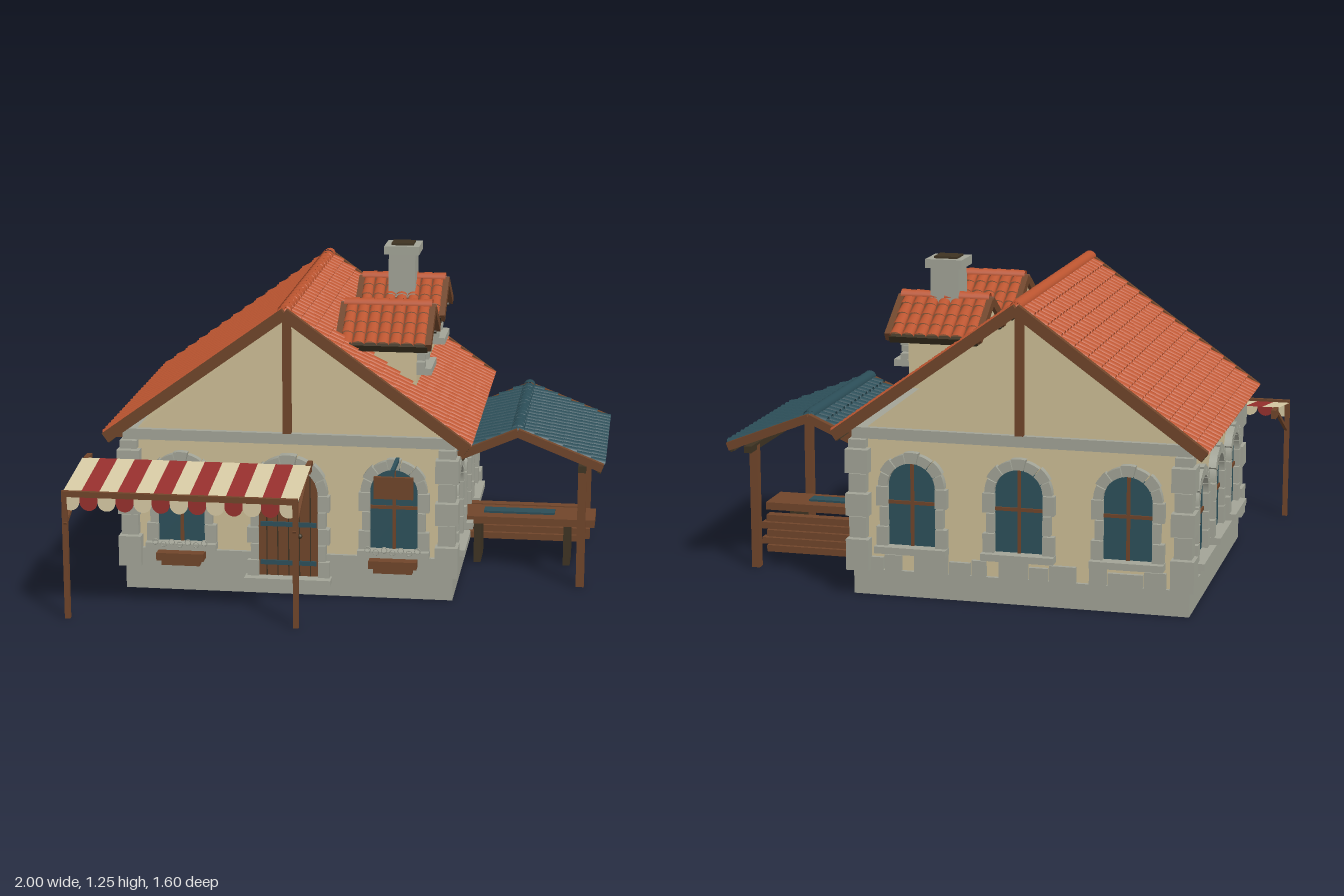
import * as THREE from 'three';
import { mergeGeometries } from 'three/addons/utils/BufferGeometryUtils.js';

const mat = (name, color, side = THREE.FrontSide) => {
  const m = new THREE.MeshStandardMaterial({ color, side });
  m.name = name;
  return m;
};
const wall = mat('plaster', 0xcdbe96), stone = mat('stone', 0xa2a497), wood = mat('wood', 0x70452a);
const dark = mat('dark wood', 0x3e3322), glass = mat('glass', 0x2d505a);
const tile = mat('clay tile', 0xbc5530, THREE.DoubleSide), teal = mat('teal tile', 0x2b4d57, THREE.DoubleSide);
const red = mat('red cloth', 0x96302d, THREE.DoubleSide), cream = mat('cream cloth', 0xd6c9a4, THREE.DoubleSide);

const CX = -0.21, CZ = -0.17; // centre of the house

function add(parent, name, geo, material, x = 0, y = 0, z = 0) {
  const m = new THREE.Mesh(geo, material);
  m.name = name;
  m.position.set(x, y, z);
  parent.add(m);
  return m;
}
const box = (parent, name, material, w, h, d, x, y, z) =>
  add(parent, name, new THREE.BoxGeometry(w, h, d), material, x, y, z);
function group(parent, name, x = 0, y = 0, z = 0, ry = 0) {
  const g = new THREE.Group();
  g.name = name;
  g.position.set(x, y, z);
  g.rotation.y = ry;
  parent.add(g);
  return g;
}
const extrude = (shape, depth) =>
  new THREE.ExtrudeGeometry(shape, { depth, bevelEnabled: false, curveSegments: 10 });

// Rows of curved tiles; x runs down the slope, z along the ridge
function tileField(L, W, rows, cols) {
  const step = L / rows, r = W / cols / 2, parts = [];
  for (let i = 0; i < rows; i++) for (let j = 0; j < cols; j++) {
    const g = new THREE.CylinderGeometry(r * 0.88, r, step * 1.15, 6, 1, true, 0, Math.PI);
    g.rotateZ(Math.PI / 2).scale(1, 0.7, 1).rotateZ(0.16);
    g.translate((i + 0.5) * step, 0.003, -W / 2 + (2 * j + 1) * r);
    parts.push(g);
  }
  return mergeGeometries(parts);
}

// Gabled roof with the ridge along z; sides = [[half width, rise, rows], ...] for +x then -x
function gableRoof(parent, name, sides, len, cols, tiles, under, board) {
  const roof = group(parent, name);
  sides.forEach(([hw, rise, rows], i) => {
    const L = Math.hypot(hw, rise);
    const slope = group(group(roof, 'roofSide', 0, 0, 0, i * Math.PI), 'slope');
    slope.rotation.z = -Math.atan2(rise, hw);
    box(slope, 'roofDeck', under, L, 0.018, len - 0.02, L / 2, -0.009, 0);
    add(slope, 'tiles', tileField(L, len - 0.04, rows, cols), tiles);
    for (const s of [-1, 1]) box(slope, 'rakeBoard', wood, L, board, 0.024, L / 2, -0.004, s * (len / 2 - 0.012));
    box(slope, 'eaveBoard', dark, 0.016, 0.03, len - 0.03, L - 0.006, -0.014, 0);
  });
  // ridge caps
  const n = Math.round(cols * 0.8), step = (len - 0.03) / n, caps = [];
  for (let k = 0; k < n; k++) {
    const g = new THREE.CylinderGeometry(0.023, 0.027, step * 1.05, 8, 1, true, -Math.PI / 2, Math.PI);
    g.rotateX(-Math.PI / 2).scale(1, 0.9, 1);
    caps.push(g.translate(0, 0.005, -len / 2 + 0.015 + (k + 0.5) * step));
  }
  add(roof, 'ridgeTiles', mergeGeometries(caps), tiles);
  return roof;
}

// Arched opening in a wall, facing local +z, with stone jambs and arch blocks
function opening(parent, name, x, z, ry, { hw, y0, yc, t = 0.034, out = 0.03, door = false }) {
  const g = group(parent, name, x, 0, z, ry);
  const s = new THREE.Shape();
  s.moveTo(-hw, y0).lineTo(hw, y0).lineTo(hw, yc).absarc(0, yc, hw, 0, Math.PI, false).lineTo(-hw, y0);
  add(g, door ? 'doorPanel' : 'pane', extrude(s, door ? 0.024 : 0.007), door ? wood : glass);
  for (let i = 0; i < 7; i++) {
    const a = (i / 7) * Math.PI + 0.015, b = ((i + 1) / 7) * Math.PI - 0.015;
    const o = hw + t + (i % 2 ? 0.006 : 0);
    const v = new THREE.Shape();
    v.absarc(0, yc, o, a, b, false).absarc(0, yc, hw - 0.002, b, a, true);
    add(g, 'archStone', extrude(v, out), stone);
  }
  const n = door ? 5 : 3, h = (yc - y0) / n;
  for (const side of [-1, 1]) for (let i = 0; i < n; i++) {
    const w = t + (i % 2 ? -0.004 : 0.01);
    box(g, 'jambStone', stone, w, h - 0.004, out, side * (hw + w / 2 - 0.002), y0 + (i + 0.5) * h, out / 2);
  }
  const top = yc + hw - y0;
  if (door) {
    for (let i = -2; i <= 2; i++) box(g, 'plankGap', dark, 0.004, top - 0.04, 0.003, i * hw * 0.36, y0 + top / 2 - 0.02, 0.025);
    for (const y of [0.13, 0.285]) box(g, 'hinge', glass, hw * 1.85, 0.018, 0.008, 0, y, 0.027);
    add(g, 'knob', new THREE.SphereGeometry(0.01, 10, 8), dark, 0.045, 0.24, 0.032);
    box(g, 'threshold', stone, 2 * hw + 0.1, 0.022, 0.075, 0, 0.066, 0.037);
  } else {
    box(g, 'mullion', wood, 0.013, top, 0.014, 0, y0 + top / 2, 0.007);
    box(g, 'crossbar', wood, 2 * hw, 0.013, 0.014, 0, y0 + top * 0.52, 0.007);
    box(g, 'sill', stone, 2 * (hw + t) + 0.02, 0.026, out + 0.026, 0, y0 - 0.01, (out + 0.026) / 2);
  }
  return g;
}

// Window box with small curled ironwork
function windowBox(parent) {
  const b = box(parent, 'windowBox', wood, 0.185, 0.03, 0.055, 0, 0.148, 0.045);
  box(parent, 'windowBoxFoot', wood, 0.15, 0.025, 0.04, 0, 0.123, 0.038);
  for (let i = -3; i <= 3; i++)
    add(b, 'curl', new THREE.TorusGeometry(0.011, 0.002, 5, 10), stone, i * 0.032, 0.05 + (i % 2 ? 0.009 : 0), 0.018);
}

function buildHouse(g) {
  box(g, 'walls', wall, 1.25, 0.55, 1.11, CX, 0.33, CZ);
  box(g, 'foundation', stone, 1.28, 0.098, 1.14, CX, 0.049, CZ);
  box(g, 'frontPlinth', stone, 1.28, 0.165, 0.03, CX, 0.0825, 0.385);
  // loose upper course of stones on the sides and back
  const widths = [0.1, 0.065, 0.13, 0.08, 0.055, 0.11, 0.07];
  for (const [x, z, ry, len] of [[CX + 0.625, CZ, Math.PI / 2, 1.11], [CX, CZ - 0.555, Math.PI, 1.25], [CX - 0.625, CZ, -Math.PI / 2, 1.11]]) {
    const row = group(g, 'stoneCourse', x, 0, z, ry);
    for (let i = 0, p = -len / 2; p < len / 2 - 0.13; i++) {
      const w = widths[i % 7], h = 0.05 + 0.012 * (i % 3);
      box(row, 'courseStone', stone, w, h, 0.02, p + w / 2, 0.096 + h / 2, 0.006);
      p += w + (i % 3 === 1 ? 0.05 : 0.006);
    }
  }
  box(g, 'corniceBand', stone, 1.285, 0.042, 1.145, CX, 0.622, CZ);
  // corner stones
  const levels = [0.095, 0.22, 0.305, 0.395, 0.47, 0.565, 0.602];
  for (const sx of [-1, 1]) for (const sz of [-1, 1]) for (let i = 0; i < 6; i++) {
    const w = i % 2 ? 0.066 : 0.088, h = levels[i + 1] - levels[i];
    box(g, 'cornerStone', stone, w, h - 0.005, w, CX + sx * 0.617, levels[i] + h / 2, CZ + sz * 0.558);
  }
  // gable infill, posts and main roof
  const tri = new THREE.Shape();
  tri.moveTo(-0.59, 0.64).lineTo(0.59, 0.64).lineTo(0, 1.09);
  add(g, 'gable', extrude(tri, 1.1), wall, CX, 0, CZ - 0.55);
  for (const s of [-1, 1]) box(g, 'gablePost', wood, 0.032, 0.455, 0.03, CX, 0.87, CZ + s * 0.56);
  gableRoof(g, 'mainRoof', [[0.7, 0.505, 14], [0.7, 0.505, 14]], 1.26, 25, tile, wood, 0.042).position.set(CX, 1.125, CZ);
  for (const s of [-1, 1]) for (let i = 0; i < 6; i++)
    box(g, 'rafterTail', wood, 0.06, 0.022, 0.03, CX + s * 0.655, 0.603, CZ - 0.5 + i * 0.2);

  // doors and windows on all four sides
  const front = { hw: 0.094, y0: 0.195, yc: 0.425 }, side = { hw: 0.09, y0: 0.18, yc: 0.395 };
  for (const x of [-0.625, 0.203]) windowBox(opening(g, 'frontWindow', x, 0.385, 0, front));
  opening(g, 'frontDoor', -0.205, 0.385, 0, { hw: 0.118, y0: 0.075, yc: 0.405, out: 0.04, door: true });
  for (const x of [-0.62, CX, 0.2]) opening(g, 'backWindow', x, CZ - 0.555, Math.PI, front);
  for (const z of [0.2, -0.165, -0.53]) {
    opening(g, 'leftWindow', CX + 0.625, z, Math.PI / 2, side);
    opening(g, 'rightWindow', CX - 0.625, z, -Math.PI / 2, side);
  }
}

function buildDormer(g, z) {
  const d = group(g, 'dormer', 0, 0, z, Math.PI / 2); // local z points to +x
  const s = new THREE.Shape();
  s.moveTo(-0.1, 0.76).lineTo(0.1, 0.76).lineTo(0.1, 1.0).lineTo(0, 1.07).lineTo(-0.1, 1.0);
  add(d, 'dormerWall', extrude(s, 0.29), wall, 0, 0, -0.025);
  opening(d, 'dormerWindow', 0, 0.265, 0, { hw: 0.06, y0: 0.865, yc: 0.95, t: 0.032, out: 0.032 });
  gableRoof(d, 'dormerRoof', [[0.19, 0.12, 4], [0.19, 0.12, 4]], 0.37, 7, tile, wood, 0.034).position.set(0, 1.092, 0.145);
  for (const sx of [-1, 1]) for (let i = 0; i < 5; i++)
    box(d, 'dormerRafter', dark, 0.05, 0.02, 0.018, sx * 0.14, 0.98, 0.01 + i * 0.065);
}

function buildChimney(g) {
  const c = group(g, 'chimney', 0.145, 0, -0.415);
  box(c, 'stack', stone, 0.108, 0.42, 0.12, 0, 1.0, 0);
  box(c, 'chimneyCap', stone, 0.142, 0.034, 0.146, 0, 1.226, 0);
  box(c, 'flue', dark, 0.09, 0.008, 0.09, 0, 1.247, 0);
}

function buildPorch(g) {
  gableRoof(g, 'porchRoof', [[0.33, 0.13, 6], [0.23, 0.1, 4]], 0.8, 16, teal, teal, 0.032).position.set(0.66, 0.63, -0.18);
  for (const z of [0.156, -0.49]) {
    box(g, 'porchPost', wood, 0.032, 0.49, 0.034, 0.91, 0.245, z);
  }
  box(g, 'porchBeam', dark, 0.03, 0.026, 0.78, 0.91, 0.487, -0.18);
  // table with a runner
  box(g, 'tableTop', wood, 0.525, 0.03, 0.175, 0.693, 0.182, -0.17);
  box(g, 'tableRunner', teal, 0.285, 0.008, 0.06, 0.65, 0.201, -0.17);
  for (const x of [0.485, 0.845]) box(g, 'tableLeg', dark, 0.028, 0.168, 0.145, x, 0.084, -0.17);
  // stacked planks behind the table
  for (let i = 0; i < 5; i++)
    box(g, 'plank', wood, 0.48, 0.026, 0.042, 0.675 + (i % 2 ? 0.015 : -0.005), 0.042 + i * 0.031, -0.355);
}

function buildAwning(g) {
  const a = group(g, 'awning', -0.553, 0, 0);
  const w = 0.89 / 13, drop = 0.05, L = Math.hypot(0.335, drop);
  for (let i = 0; i < 13; i++) {
    const m = i % 2 ? red : cream, x = (i - 6) * w;
    const strip = new THREE.PlaneGeometry(w, L).rotateX(-Math.PI / 2 + Math.atan2(drop, 0.335));
    add(a, 'awningStripe', strip, m, x, 0.512, 0.628);
    add(a, 'valance', new THREE.PlaneGeometry(w, 0.03), m, x, 0.473, 0.797);
    add(a, 'scallop', new THREE.CircleGeometry(w / 2, 10, Math.PI, Math.PI), m, x, 0.459, 0.797);
  }
  box(a, 'awningRail', wood, 0.89, 0.022, 0.016, 0, 0.488, 0.793);
  for (const s of [-1, 1]) {
    box(a, 'awningPost', wood, 0.02, 0.48, 0.02, s * 0.435, 0.24, 0.79);
    const arm = box(a, 'awningArm', wood, 0.012, 0.014, Math.hypot(0.34, 0.155), s * 0.432, 0.447, 0.63);
    arm.rotation.x = Math.atan2(0.155, 0.34);
    box(a, 'awningBracket', wood, 0.02, 0.035, 0.07, s * 0.432, 0.52, 0.43);
  }
}

function buildSign(g) {
  box(g, 'signBracket', glass, 0.014, 0.014, 0.18, 0.216, 0.556, 0.49);
  box(g, 'signHanger', glass, 0.008, 0.03, 0.008, 0.216, 0.536, 0.537);
  box(g, 'signBoard', wood, 0.15, 0.085, 0.016, 0.216, 0.481, 0.537);
}

export function createModel() {
  const g = new THREE.Group();
  g.name = 'cottage';
  buildHouse(g);
  buildDormer(g, 0.103);
  buildDormer(g, -0.45);
  buildChimney(g);
  buildPorch(g);
  buildAwning(g);
  buildSign(g);
  return g;
}
